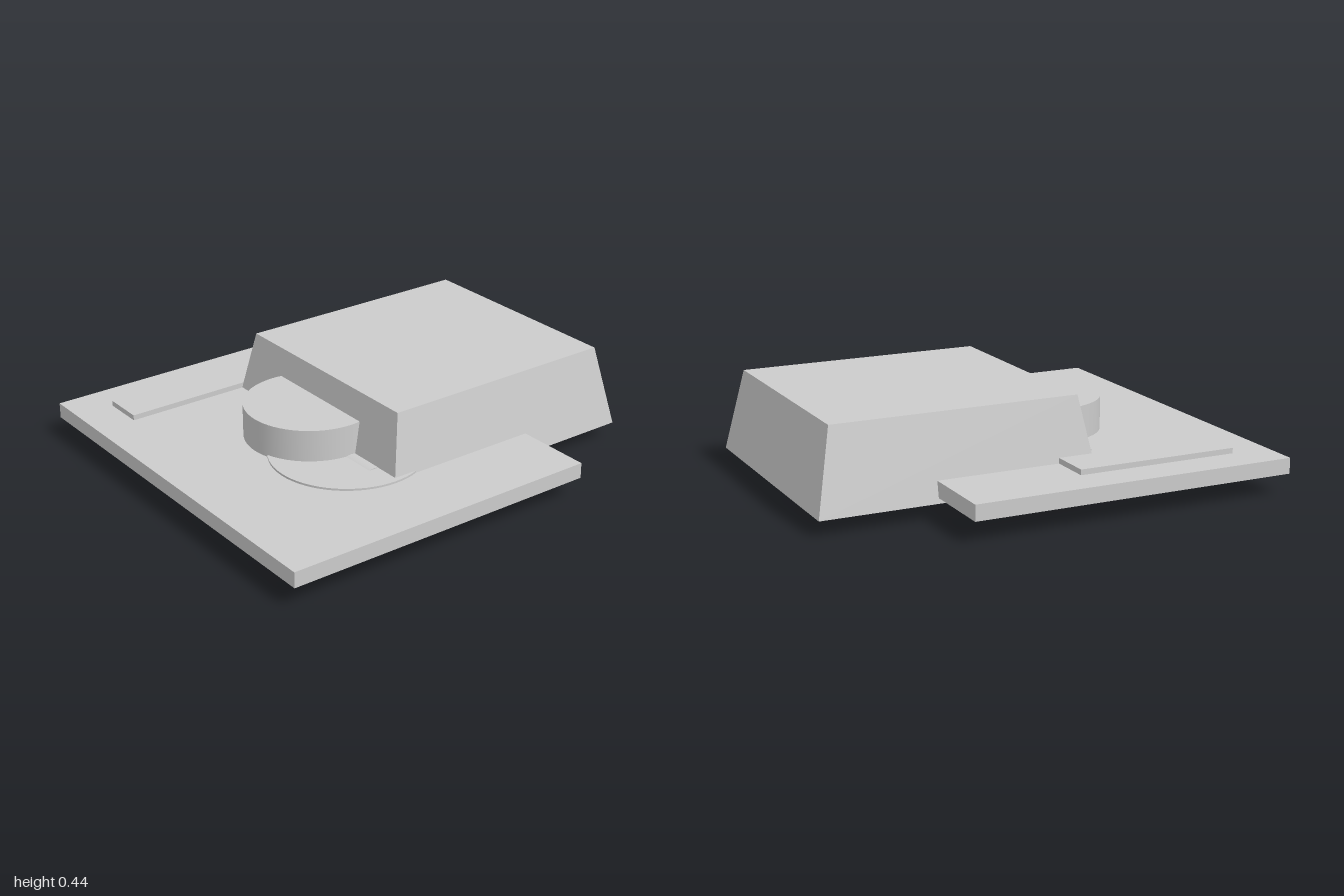
import * as THREE from 'three';

const material = new THREE.MeshStandardMaterial({ color: 0xcccccc });

function add(group, name, geometry, x, y, z) {
  const mesh = new THREE.Mesh(geometry, material);
  mesh.name = name;
  mesh.position.set(x, y, z);
  group.add(mesh);
  return mesh;
}

// Hollow tapered cover: rectangular rings joined from the inner ceiling,
// down the inside, across the rim and up the outside to the roof.
function coverGeometry() {
  const ring = (x0, x1, z, y) => [[x0, y, z], [x1, y, z], [x1, y, -z], [x0, y, -z]];
  const t = 0.02;
  const rings = [
    ring(-0.192 + t, 0.925 - t, 0.52 - t, 0.437 - t),
    ring(-0.26 + t, 1 - t, 0.59 - t, 0.07),
    ring(-0.26, 1, 0.59, 0.07),
    ring(-0.192, 0.925, 0.52, 0.437),
  ];
  const positions = [];
  const quad = (a, b, c, d) => positions.push(...a, ...b, ...c, ...a, ...c, ...d);
  for (let r = 0; r < 3; r++) {
    for (let i = 0; i < 4; i++) {
      const j = (i + 1) % 4;
      quad(rings[r][i], rings[r][j], rings[r + 1][j], rings[r + 1][i]);
    }
  }
  quad(...rings[3]);
  quad(...[...rings[0]].reverse());
  const geometry = new THREE.BufferGeometry();
  geometry.setAttribute('position', new THREE.Float32BufferAttribute(positions, 3));
  geometry.computeVertexNormals();
  return geometry;
}

export function createModel() {
  const model = new THREE.Group();
  model.name = 'model';

  // Flat base with a raised strip along the back
  add(model, 'basePlate', new THREE.BoxGeometry(1.48, 0.07, 1.85), -0.26, 0.128, 0);
  add(model, 'raisedStrip', new THREE.BoxGeometry(0.74, 0.024, 0.19), -0.45, 0.175, -0.665);

  // Thin off-centre disc under the round drum
  add(model, 'thinDisc', new THREE.CylinderGeometry(0.34, 0.34, 0.01, 64), -0.255, 0.167, 0.255);
  add(model, 'drum', new THREE.CylinderGeometry(0.295, 0.295, 0.152, 64), -0.262, 0.239, 0);

  // Tapered cover, open underneath
  add(model, 'cover', coverGeometry(), 0, 0, 0);

  // Pair of rollers below the base
  for (const side of [-1, 1]) {
    const roller = add(model, 'roller', new THREE.CylinderGeometry(0.088, 0.088, 0.31, 40), -0.262, 0.088, side * 0.3);
    roller.rotation.x = Math.PI / 2;
  }
  return model;
}
